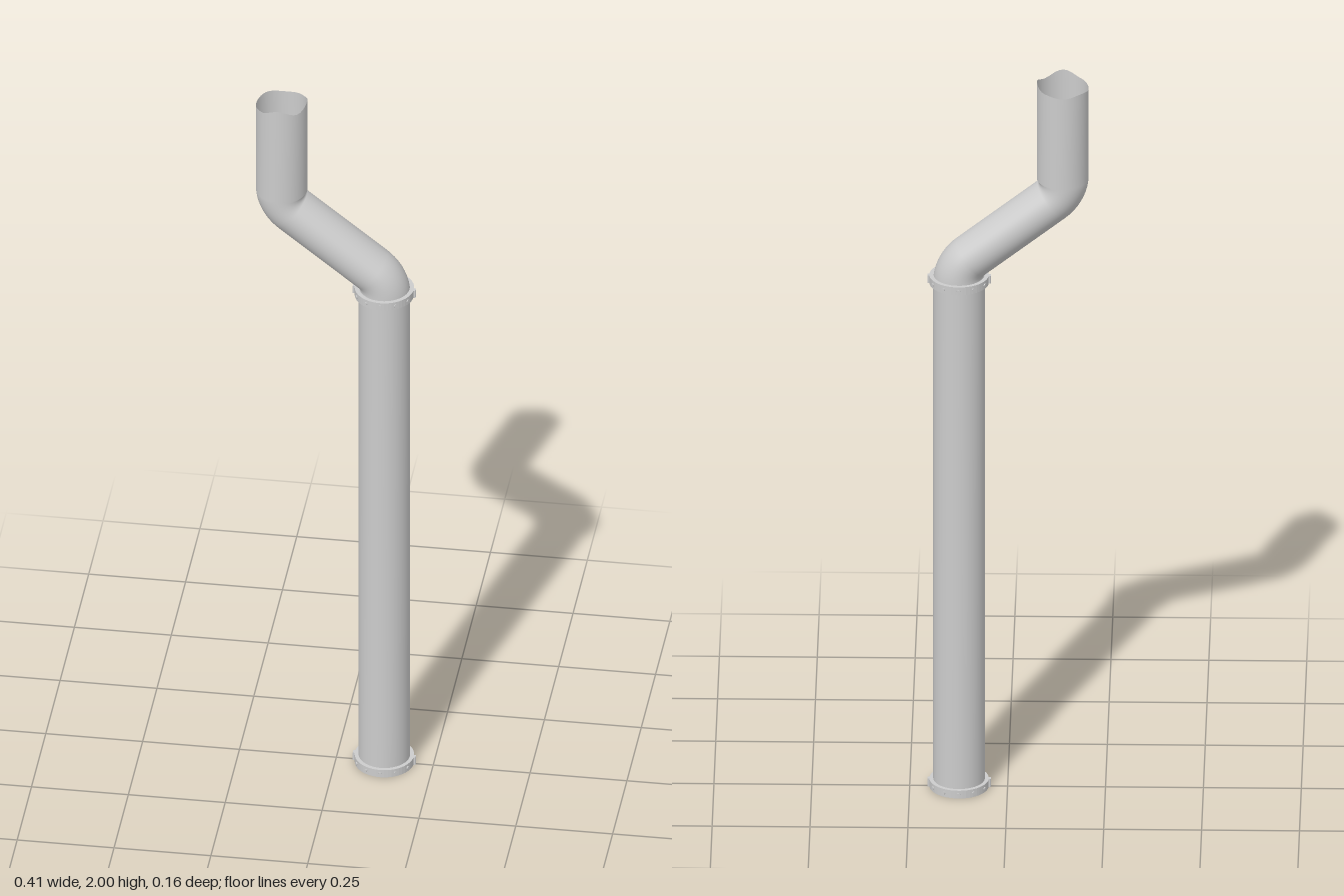
import * as THREE from 'three';

const R = 0.066;            // pipe radius
const SIDES = 40;
const LOW_X = 0.124, HIGH_X = -0.141;
const material = new THREE.MeshStandardMaterial({ color: 0xcccccc, side: THREE.DoubleSide });

// Height of the wavy torn rim at an angle measured from +x towards +z
const RIM = [1.997, 1.984, 2.0, 1.984, 1.978, 1.984, 1.978, 1.984];
function rimHeight(angle) {
  const t = (angle / (2 * Math.PI)) * RIM.length;
  const i = Math.floor(t) % RIM.length;
  const f = (1 - Math.cos((t - Math.floor(t)) * Math.PI)) / 2;
  return RIM[i] * (1 - f) + RIM[(i + 1) % RIM.length] * f;
}

// Open pipe skin swept from the bottom up; each ring is { x, y, tilt, width }
function sweptPipe(rings, wavyTop) {
  const positions = [], index = [];
  rings.forEach((ring, k) => {
    for (let j = 0; j <= SIDES; j++) {
      const a = ((j % SIDES) / SIDES) * Math.PI * 2;
      const across = Math.cos(a) * R * ring.width;
      const last = wavyTop && k === rings.length - 1;
      positions.push(
        ring.x + across * Math.cos(ring.tilt),
        last ? rimHeight(a) : ring.y + across * Math.sin(ring.tilt),
        Math.sin(a) * R
      );
    }
  });
  const row = SIDES + 1;
  for (let k = 0; k < rings.length - 1; k++) {
    for (let j = 0; j < SIDES; j++) {
      const a = k * row + j, b = a + row;
      index.push(a, b, a + 1, a + 1, b, b + 1);
    }
  }
  const g = new THREE.BufferGeometry();
  g.setAttribute('position', new THREE.Float32BufferAttribute(positions, 3));
  g.setIndex(index);
  g.computeVertexNormals();
  // Match normals across the seam
  const n = g.attributes.normal;
  for (let k = 0; k < rings.length; k++) {
    const a = k * row, b = a + SIDES;
    const v = new THREE.Vector3(n.getX(a) + n.getX(b), n.getY(a) + n.getY(b), n.getZ(a) + n.getZ(b)).normalize();
    n.setXYZ(a, v.x, v.y, v.z);
    n.setXYZ(b, v.x, v.y, v.z);
  }
  return g;
}

// Centre line of the offset: up, bend over to -x, bend back up
function offsetRings() {
  const lowCorner = new THREE.Vector2(LOW_X, 1.477);
  const highCorner = new THREE.Vector2(HIGH_X, 1.687);
  const dir = highCorner.clone().sub(lowCorner).normalize();
  const turn = Math.atan2(-dir.x, dir.y);
  const bend = 0.075, cut = bend * Math.tan(turn / 2), steps = 8;
  const rings = [{ x: LOW_X, y: 1.43, tilt: 0, width: 1 }];
  const slim = (t) => 1 - 0.11 * Math.sin((t * Math.PI) / 2);
  for (let i = 0; i <= steps; i++) {
    const t = (turn * i) / steps;
    rings.push({
      x: LOW_X - bend * (1 - Math.cos(t)),
      y: lowCorner.y - cut + bend * Math.sin(t),
      tilt: t, width: slim(i / steps),
    });
  }
  for (let i = steps; i >= 0; i--) {
    const t = (turn * i) / steps;
    rings.push({
      x: HIGH_X + bend * (1 - Math.cos(t)),
      y: highCorner.y + cut - bend * Math.sin(t),
      tilt: t, width: slim(i / steps),
    });
  }
  // Straight stub, then the rim
  rings.push({ x: HIGH_X, y: 1.96, tilt: 0, width: 1 });
  rings.push({ x: HIGH_X, y: 2, tilt: 0, width: 1 });
  return rings;
}

// Collar band with small bolts around it
function collar(name, y) {
  const group = new THREE.Group();
  group.name = name;
  const h = 0.022, outer = 0.076;
  const shape = new THREE.Shape().absarc(0, 0, outer, 0, Math.PI * 2, false);
  shape.holes.push(new THREE.Path().absarc(0, 0, R - 0.001, 0, Math.PI * 2, true));
  const bandGeo = new THREE.ExtrudeGeometry(shape, { depth: h, bevelEnabled: false, curveSegments: 24 });
  bandGeo.rotateX(-Math.PI / 2);
  const band = new THREE.Mesh(bandGeo, material);
  band.name = 'collarBand';
  group.add(band);
  for (let i = 0; i < 12; i++) {
    const a = (i / 12) * Math.PI * 2;
    const main = i % 6 === 0;            // larger clamp lugs on both sides
    const size = main ? 0.012 : 0.009, reach = main ? 0.081 : 0.0785;
    const geo = main
      ? new THREE.BoxGeometry(0.012, h, size)
      : new THREE.CylinderGeometry(size / 2, size / 2, 0.012, 8).rotateZ(Math.PI / 2);
    const bolt = new THREE.Mesh(geo, material);
    bolt.name = main ? 'clampLug' : 'collarBolt';
    bolt.position.set(Math.cos(a) * (reach - 0.006), h / 2, Math.sin(a) * (reach - 0.006));
    bolt.rotation.y = -a;
    group.add(bolt);
  }
  group.position.set(LOW_X, y, 0);
  return group;
}

export function createModel() {
  const model = new THREE.Group();
  model.name = 'drainPipe';

  // Long straight lower pipe, open at both ends
  const lower = new THREE.Mesh(
    sweptPipe([0.002, 1.44].map((y) => ({ x: LOW_X, y, tilt: 0, width: 1 })), false), material);
  lower.name = 'lowerPipe';
  model.add(lower);

  // Double-bend upper pipe with a wavy open end
  const upper = new THREE.Mesh(sweptPipe(offsetRings(), true), material);
  upper.name = 'offsetPipe';
  model.add(upper);

  // Collars at the foot and at the joint
  model.add(collar('bottomCollar', 0), collar('jointCollar', 1.426));
  return model;
}
